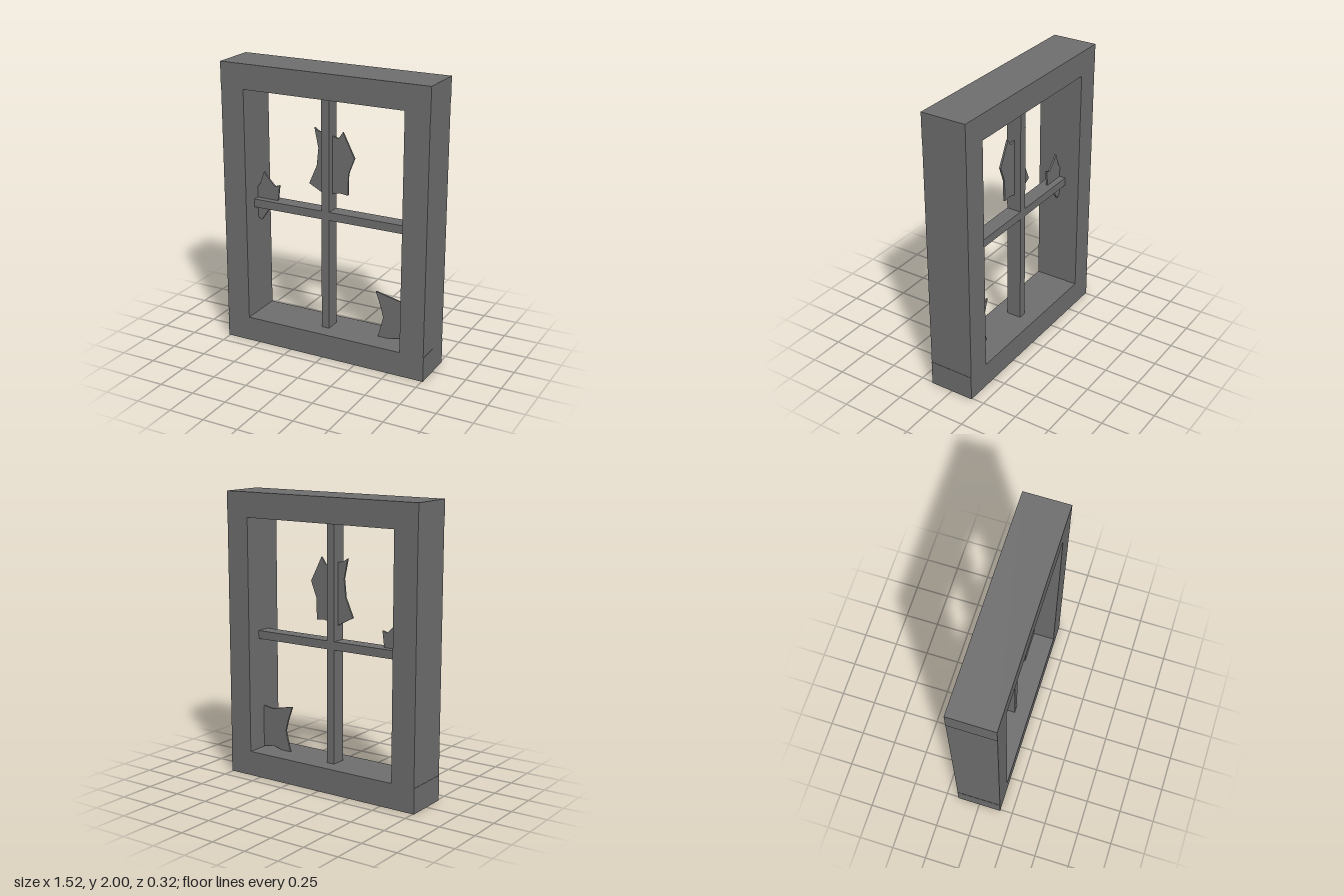
import * as THREE from 'three';

const material = new THREE.MeshStandardMaterial({ color: 0x6e6e6e, flatShading: true });

export function createModel() {
  const model = new THREE.Group();

  const add = (name, geometry) => {
    const mesh = new THREE.Mesh(geometry, material);
    mesh.name = name;
    model.add(mesh);
    return mesh;
  };

  // Box given by its edges in x and y and its depth, centred on z = 0
  const bar = (name, x0, x1, y0, y1, depth) =>
    add(name, new THREE.BoxGeometry(x1 - x0, y1 - y0, depth))
      .position.set((x0 + x1) / 2, (y0 + y1) / 2, 0);

  // Outer frame: full-width rails with stiles between them
  bar('bottomRail', -0.759, 0.759, 0, 0.175, 0.32);
  bar('topRail', -0.759, 0.759, 1.827, 2, 0.32);
  bar('rightStile', -0.757, -0.585, 0.175, 1.827, 0.32);
  bar('leftStile', 0.585, 0.757, 0.175, 1.827, 0.32);

  // Glazing bars
  bar('verticalGlazingBar', -0.058, 0, 0.175, 1.827, 0.106);
  bar('horizontalGlazingBar', -0.585, 0.585, 0.972, 1.03, 0.106);

  // Jagged remains of broken glass, set in the middle of the frame
  const thickness = 0.013;
  const shard = (name, outline) => {
    const shape = new THREE.Shape(outline.map(([x, y]) => new THREE.Vector2(x, y)));
    const geometry = new THREE.ExtrudeGeometry(shape, { depth: thickness, bevelEnabled: false });
    add(name, geometry.translate(0, 0, -thickness / 2));
  };

  shard('centreGlassShard', [
    [-0.134, 1.59], [-0.1, 1.568], [0.046, 1.537], [0.078, 1.584], [0.164, 1.415],
    [0.12, 1.302], [0.117, 1.153], [0.057, 1.16], [0, 1.148], [-0.055, 1.132],
    [-0.176, 1.196], [-0.118, 1.328], [-0.105, 1.452],
  ]);
  shard('sideGlassShard', [
    [-0.6, 1.08], [-0.585, 1.105], [-0.563, 1.134], [-0.531, 1.224], [-0.51, 1.192],
    [-0.446, 1.129], [-0.409, 1.141], [-0.423, 1.03], [-0.478, 0.973],
    [-0.5, 0.949], [-0.557, 0.867], [-0.6, 0.9],
  ]);
  shard('cornerGlassShard', [
    [0.332, 0.505], [0.506, 0.467], [0.6, 0.479], [0.6, 0.175], [0.506, 0.194],
    [0.443, 0.18], [0.42, 0.17], [0.351, 0.17], [0.39, 0.323], [0.369, 0.403],
  ]);

  return model;
}
